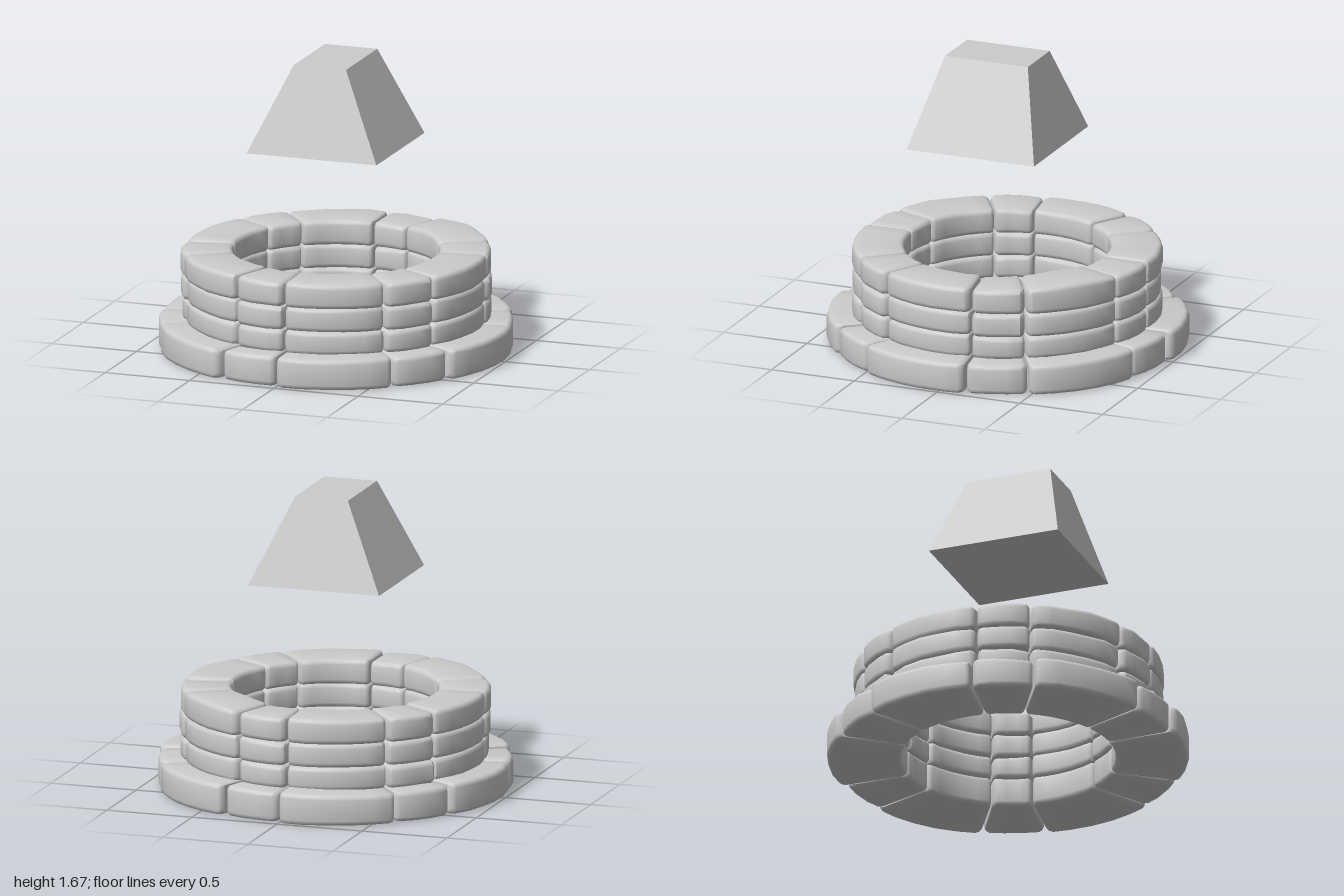
import * as THREE from 'three';
import { toCreasedNormals } from 'three/addons/utils/BufferGeometryUtils.js';

const RAD = Math.PI / 180;
const material = new THREE.MeshStandardMaterial({ color: 0xcccccc });

// Seeded noise in -1..1 for the hand-cut look
function makeNoise(seed) {
  let s = seed;
  return () => {
    s = (s * 16807) % 2147483647;
    return (s / 2147483647) * 2 - 1;
  };
}

// Closed solid from equal-length loops of points, capped at both ends
function loft(loops) {
  const n = loops[0].length;
  const positions = [];
  const index = [];
  loops.forEach(loop => loop.forEach(p => positions.push(...p)));
  for (let i = 0; i < loops.length - 1; i++) {
    for (let j = 0; j < n; j++) {
      const a = i * n + j, b = i * n + (j + 1) % n;
      index.push(a, b, b + n, a, b + n, a + n);
    }
  }
  const last = (loops.length - 1) * n;
  for (let j = 1; j < n - 1; j++) {
    index.push(0, j + 1, j, last, last + j, last + j + 1);
  }
  const geometry = new THREE.BufferGeometry();
  geometry.setAttribute('position', new THREE.Float32BufferAttribute(positions, 3));
  geometry.setIndex(index);
  return geometry;
}

// Rounded rectangle in (radius, y), counter-clockwise
function stoneSection(r0, r1, y0, y1, bevel) {
  const points = [];
  const corners = [[r1 - bevel, y0 + bevel, -90], [r1 - bevel, y1 - bevel, 0],
    [r0 + bevel, y1 - bevel, 90], [r0 + bevel, y0 + bevel, 180]];
  for (const [r, y, start] of corners) {
    for (let k = 0; k <= 3; k++) {
      const a = (start + k * 30) * RAD;
      points.push([r + bevel * Math.cos(a), y + bevel * Math.sin(a)]);
    }
  }
  return points;
}

// One curved block swept between two angles, with rounded ends
function stone(from, to, r0, r1, y0, y1, noise, bump) {
  const gap = 0.45, bevel = 0.028;
  const a0 = from + gap, a1 = to - gap;
  const steps = to - from > 30 ? 5 : 3;
  const stations = [[a0, 0.02], [a0 + 0.6, 0.007], [a0 + 1.8, 0]];
  for (let i = 1; i < steps; i++) stations.push([a0 + (a1 - a0) * i / steps, 0]);
  stations.push([a1 - 1.8, 0], [a1 - 0.6, 0.007], [a1, 0.02]);
  const dr = noise() * 0.008, tilt = noise() * 0.006;
  const loops = stations.map(([angle, inset]) => {
    const t = (angle - a0) / (a1 - a0);
    const wave = inset ? 0 : noise() * 0.004;
    const outer = r1 + dr + wave - inset - 0.012 * Math.pow(2 * t - 1, 4);
    const top = y1 + tilt * (2 * t - 1) + wave * 0.5 + bump * Math.sin(Math.PI * t) - inset * 0.6;
    const section = stoneSection(r0 + inset, outer, y0 + inset * 0.6, top, bevel);
    const c = Math.cos(angle * RAD), s = Math.sin(angle * RAD);
    return section.map(([r, y]) => [r * c, y, r * s]);
  });
  return new THREE.Mesh(toCreasedNormals(loft(loops), 40 * RAD), material);
}

export function createModel() {
  const group = new THREE.Group();
  const noise = makeNoise(4711);

  // Ring wall: a wide footing and three narrower courses of six short and six long stones
  const courses = [
    { name: 'footing', r0: 0.595, r1: 1.0, y0: 0.005, y1: 0.18 },
    { name: 'lowerCourse', r0: 0.58, r1: 0.86, y0: 0.17, y1: 0.303 },
    { name: 'middleCourse', r0: 0.58, r1: 0.86, y0: 0.3, y1: 0.438 },
    { name: 'topCourse', r0: 0.575, r1: 0.86, y0: 0.433, y1: 0.576 },
  ];
  courses.forEach(({ name, r0, r1, y0, y1 }, level) => {
    const course = new THREE.Group();
    course.name = name;
    for (let i = 0; i < 6; i++) {
      const start = -90 + i * 60;
      const split = start + 21;
      const bump = level === 3 && i === 0 ? 0.016 : 0;
      const short = stone(start, split, r0, level ? r1 : r1 - 0.02, y0, y1 - 0.004, noise, 0);
      const long = stone(split, start + 60, r0, r1, y0, y1, noise, bump);
      short.name = 'shortStone';
      long.name = 'longStone';
      course.add(short, long);
    }
    group.add(course);
  });

  // Roof: floating four-sided block with a flat top, smaller above than below
  const roofGeometry = new THREE.BoxGeometry(1, 1, 1);
  const p = roofGeometry.attributes.position;
  for (let i = 0; i < p.count; i++) {
    const top = p.getY(i) > 0;
    const [x0, x1, z0, z1] = top ? [-0.14, 0.17, -0.195, 0.305] : [-0.37, 0.4, -0.33, 0.44];
    p.setXYZ(i, p.getX(i) < 0 ? x0 : x1, top ? 1.68 : 1.185, p.getZ(i) < 0 ? z0 : z1);
  }
  roofGeometry.computeVertexNormals();
  const roof = new THREE.Mesh(roofGeometry, material);
  roof.name = 'roof';
  group.add(roof);

  return group;
}
